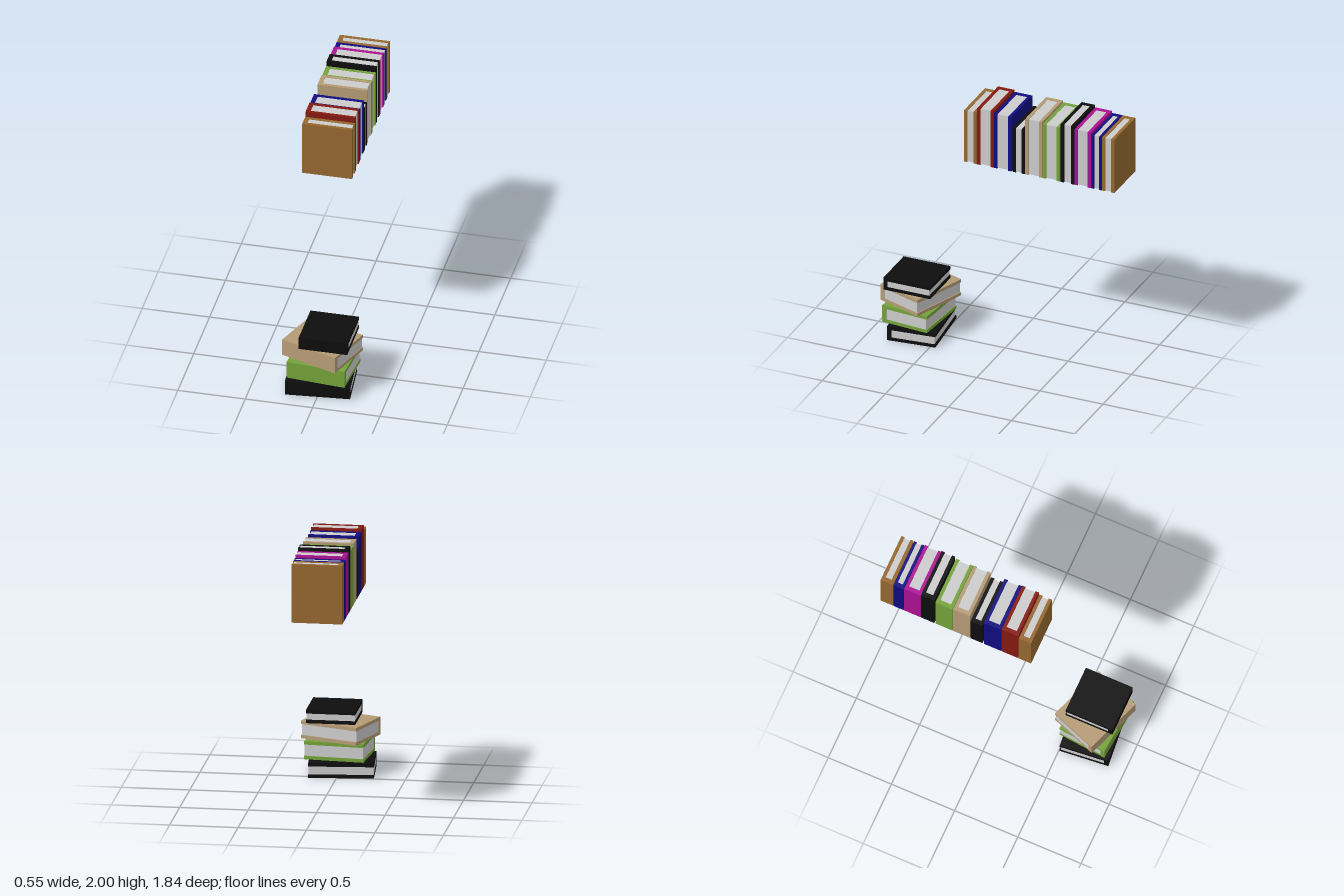
import * as THREE from 'three';

const COLORS = {
  brown: 0x966830, red: 0x851911, navy: 0x110c80, black: 0x0d0d0d,
  tan: 0xb59b76, green: 0x74a23a, magenta: 0xac1193,
};
const DEPTH = 0.37;   // spine to fore-edge
const SPINE = 0.033;

const pageMaterial = () => new THREE.MeshStandardMaterial({ color: 0xcccccc });

// A centred upright book: spine at -x, height along y, thickness along z
function makeBook(color, height, thickness) {
  const book = new THREE.Group();
  const board = thickness < 0.085 ? 0.02 : 0.025;
  const h = DEPTH / 2, t = thickness / 2, i = t - board;

  // U-shaped cover: two boards joined by the spine
  const outline = new THREE.Shape([
    [-h, -t], [h, -t], [h, -i], [-h + SPINE, -i],
    [-h + SPINE, i], [h, i], [h, t], [-h, t],
  ].map(([x, y]) => new THREE.Vector2(x, y)));
  const coverGeometry = new THREE.ExtrudeGeometry(outline, { depth: height, bevelEnabled: false });
  coverGeometry.translate(0, 0, -height / 2).rotateX(-Math.PI / 2);
  const cover = new THREE.Mesh(coverGeometry, new THREE.MeshStandardMaterial({ color: COLORS[color] }));
  cover.name = 'cover';

  // Page block, slightly recessed at the open edges
  const pageDepth = DEPTH - SPINE - 0.008;
  const pages = new THREE.Mesh(
    new THREE.BoxGeometry(pageDepth, height - 0.006, 2 * i), pageMaterial());
  pages.position.x = -h + SPINE + pageDepth / 2;
  pages.name = 'pages';

  book.add(cover, pages);
  return book;
}

export function createModel() {
  const model = new THREE.Group();

  // Upright row: colour, front z, back z, top y
  const row = new THREE.Group();
  row.name = 'bookRow';
  const base = 1.526;
  [
    ['brown', 0.27, 0.172, 1.947],
    ['red', 0.167, 0.037, 1.984],
    ['navy', 0.033, -0.104, 1.968],
    ['black', -0.114, -0.209, 1.886],
    ['tan', -0.214, -0.347, 1.98],
    ['green', -0.352, -0.487, 1.967],
    ['black', -0.495, -0.601, 2.0],
    ['magenta', -0.603, -0.734, 1.98],
    ['navy', -0.739, -0.819, 1.963],
    ['brown', -0.823, -0.92, 1.963],
  ].forEach(([color, z0, z1, top], n) => {
    const book = makeBook(color, top - base, z0 - z1);
    book.position.set(-0.064, (top + base) / 2, (z0 + z1) / 2);
    book.name = `uprightBook${n + 1}`;
    row.add(book);
  });

  // Lying pile, spines to the front: colour, length, bottom y, top y, x, z, turn in degrees
  const pile = new THREE.Group();
  pile.name = 'bookPile';
  const lie = new THREE.Matrix4().makeBasis(
    new THREE.Vector3(0, 0, -1), new THREE.Vector3(1, 0, 0), new THREE.Vector3(0, -1, 0));
  [
    ['black', 0.476, 0, 0.11, -0.016, 0.668, 5.5],
    ['green', 0.44, 0.125, 0.26, 0.005, 0.676, -5],
    ['tan', 0.454, 0.265, 0.397, -0.004, 0.668, -20],
    ['black', 0.36, 0.4, 0.497, 0.045, 0.678, 0],
  ].forEach(([color, length, y0, y1, x, z, turn], n) => {
    const book = makeBook(color, length, y1 - y0);
    book.quaternion.setFromRotationMatrix(lie);
    const holder = new THREE.Group();
    holder.add(book);
    holder.position.set(x, (y0 + y1) / 2, z);
    holder.rotation.y = THREE.MathUtils.degToRad(turn);
    holder.name = `stackedBook${n + 1}`;
    pile.add(holder);
  });

  model.add(row, pile);
  return model;
}
